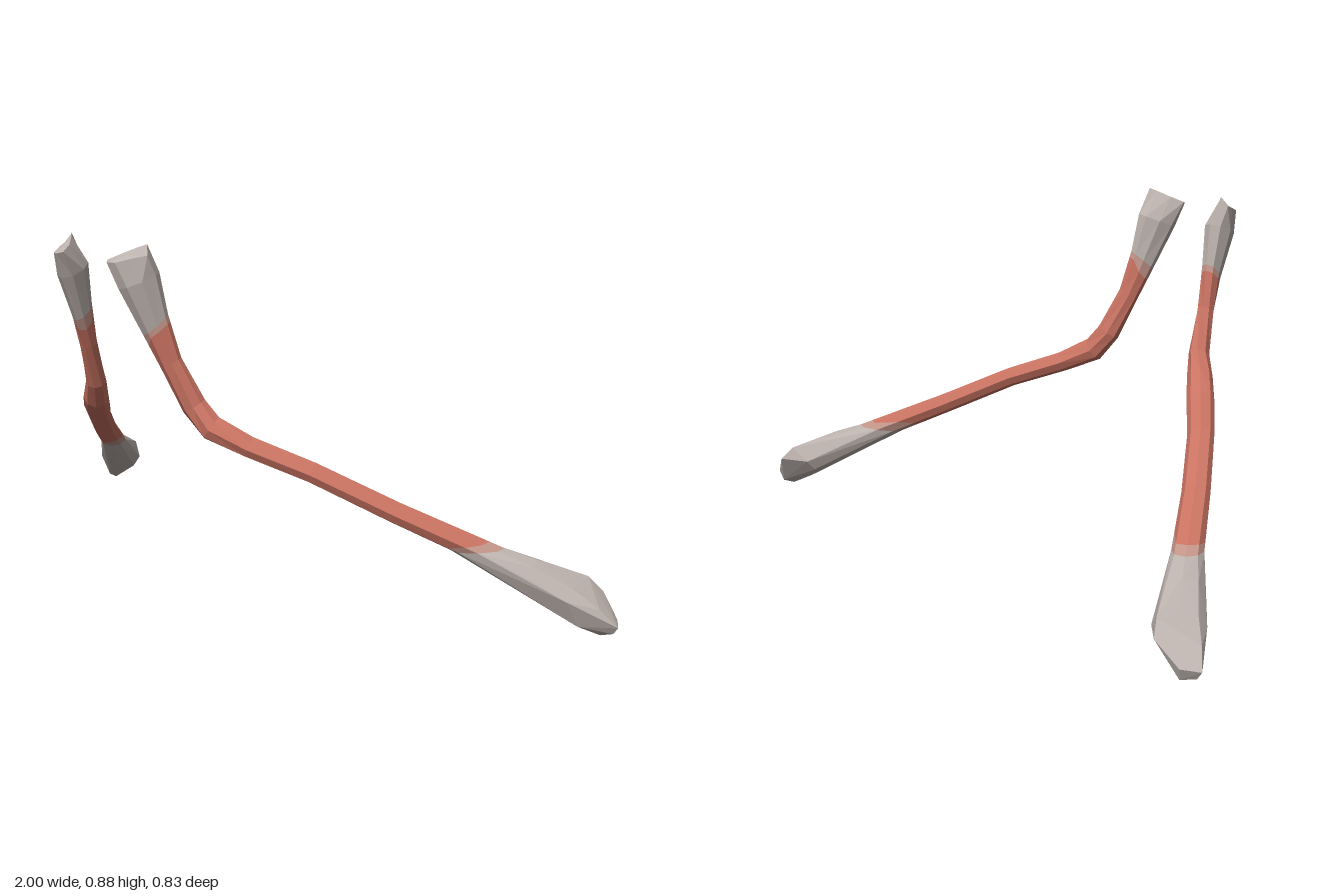
import * as THREE from 'three';
import { ConvexGeometry } from 'three/addons/geometries/ConvexGeometry.js';

const SIDES = 8;
const toVectors = (list) => list.map((p) => new THREE.Vector3(...p));

// Rim of the blade-like upper end
const TOP_RIM = toVectors([
  [0.15, 0.85, 0.372], [0.168, 0.856, 0.345], [0.153, 0.88, 0.334], [0.138, 0.874, 0.345],
  [0.108, 0.858, 0.372], [0.091, 0.844, 0.402], [0.105, 0.84, 0.415], [0.125, 0.84, 0.406],
]);

// Rod sections from upper end to foot: centre x, y, z, half width, half height, slant along the rod
const SECTIONS = [
  [0.135, 0.795, 0.345, 0.032, 0.052, 0],
  [0.15, 0.69, 0.309, 0.022, 0.036, -0.012],
  [0.168, 0.6, 0.279, 0.021, 0.027, 0],
  [0.2, 0.495, 0.235, 0.026, 0.03, 0],
  [0.236, 0.445, 0.211, 0.032, 0.032, 0],
  [0.31, 0.404, 0.157, 0.034, 0.026, 0],
  [0.43, 0.352, 0.067, 0.032, 0.025, 0],
  [0.58, 0.265, -0.06, 0.033, 0.026, 0],
  [0.722, 0.185, -0.189, 0.036, 0.029, 0.055],
  [0.81, 0.133, -0.267, 0.047, 0.038, 0],
  [0.875, 0.085, -0.325, 0.058, 0.042, 0],
];

// Corners of the flared foot's slanted end
const FOOT_TIP = toVectors([
  [1.0, 0.03, -0.36], [0.965, 0.07, -0.335], [0.9, 0.11, -0.36], [0.885, 0.12, -0.39],
  [0.91, 0.085, -0.415], [0.97, 0.035, -0.395], [0.96, 0.008, -0.387], [0.95, 0, -0.36],
  [0.985, 0.012, -0.362], [0.92, 0.022, -0.315],
]);

function makeRings() {
  const centers = SECTIONS.map((s) => new THREE.Vector3(s[0], s[1], s[2]));
  const last = centers.length - 1;
  return SECTIONS.map(([, , , w, h, slant], i) => {
    const t = centers[Math.min(i + 1, last)].clone().sub(centers[Math.max(i - 1, 0)]).normalize();
    const across = new THREE.Vector3(-t.z, 0, t.x).normalize();
    const up = across.clone().cross(t);
    return Array.from({ length: SIDES }, (_, j) => {
      const a = (j / SIDES) * Math.PI * 2;
      return centers[i].clone()
        .addScaledVector(across, Math.cos(a) * w)
        .addScaledVector(up, Math.sin(a) * h)
        .addScaledVector(t, Math.sin(a) * slant);
    });
  });
}

// Edge of a blend band: reaches further along the rod on its inner underside
function blendRing(from, to) {
  return from.map((p, j) => {
    const reach = Math.max(0, Math.cos((j / SIDES - 0.625) * Math.PI * 2));
    return p.clone().lerp(to[j], 0.15 + 0.25 * reach);
  });
}

// Faceted loft through rings, mirrored when side is -1
function loft(rings, side, capped) {
  const pos = [];
  const tri = (a, b, c) => {
    for (const p of side > 0 ? [a, b, c] : [a, c, b]) pos.push(p.x * side, p.y, p.z);
  };
  for (let i = 0; i < rings.length - 1; i++) {
    for (let j = 0; j < SIDES; j++) {
      const k = (j + 1) % SIDES;
      tri(rings[i][j], rings[i + 1][j], rings[i][k]);
      tri(rings[i][k], rings[i + 1][j], rings[i + 1][k]);
    }
  }
  if (capped) {
    const rim = rings[0];
    const mid = rim.reduce((m, p) => m.add(p), new THREE.Vector3()).divideScalar(SIDES);
    rim.forEach((p, j) => tri(mid, p, rim[(j + 1) % SIDES]));
  }
  const geo = new THREE.BufferGeometry();
  geo.setAttribute('position', new THREE.Float32BufferAttribute(pos, 3));
  geo.computeVertexNormals();
  return geo;
}

// Faceted hull around points, mirrored when side is -1
function hull(points, side) {
  return new ConvexGeometry(points.map((p) => new THREE.Vector3(p.x * side, p.y, p.z)));
}

function makeMaterial(name, color) {
  const material = new THREE.MeshStandardMaterial({ color });
  material.name = name;
  return material;
}

export function createModel() {
  const grey = makeMaterial('warm grey', 0xbdb3ae);
  const rust = makeMaterial('rust red', 0xcb7463);
  const pink = makeMaterial('dusty pink', 0xc4968a);

  const rings = [TOP_RIM, ...makeRings()];
  const upperBlend = blendRing(rings[2], rings[3]);
  const lowerBlend = blendRing(rings[9], rings[8]);
  const model = new THREE.Group();
  model.name = 'bentRods';

  for (const side of [1, -1]) {
    const rod = new THREE.Group();
    rod.name = side > 0 ? 'leftRod' : 'rightRod';
    const add = (name, geometry, material) => {
      const mesh = new THREE.Mesh(geometry, material);
      mesh.name = name;
      rod.add(mesh);
    };
    add('upperEnd', loft(rings.slice(0, 3), side, true), grey);
    add('upperBlend', loft([rings[2], upperBlend], side, false), pink);
    add('shaft', loft([upperBlend, ...rings.slice(3, 9), lowerBlend], side, false), rust);
    add('lowerBlend', loft([lowerBlend, rings[9]], side, false), pink);
    add('flaredFoot', hull([...rings.slice(9).flat(), ...FOOT_TIP], side), grey);
    model.add(rod);
  }
  return model;
}
